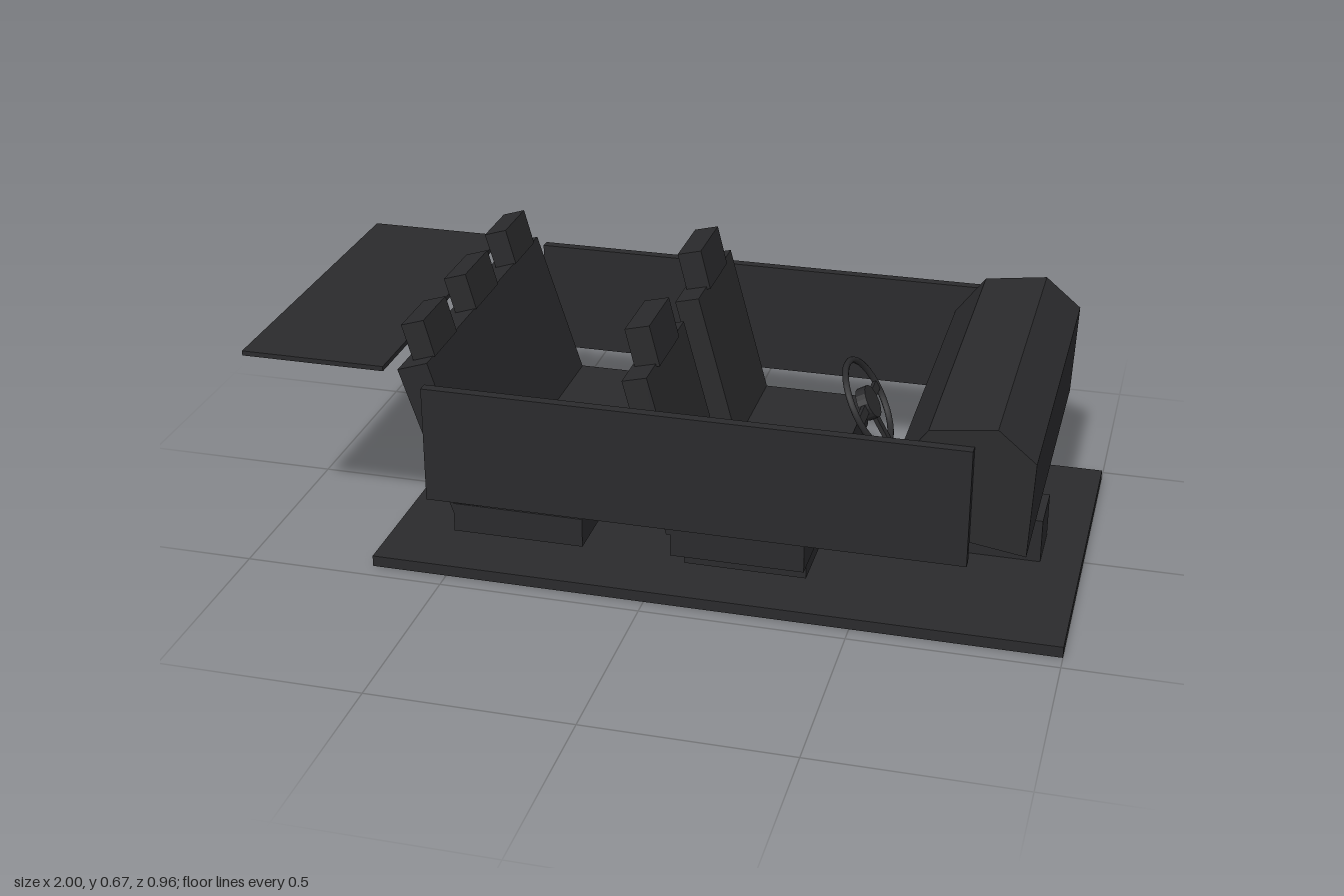
import * as THREE from 'three';

const material = new THREE.MeshStandardMaterial({ color: 0x2a2a2c, flatShading: true });
const smooth = new THREE.MeshStandardMaterial({ color: 0x2a2a2c });

// Box from its limits on each axis
function box(name, [x0, x1], [y0, y1], [z0, z1]) {
  const mesh = new THREE.Mesh(new THREE.BoxGeometry(x1 - x0, y1 - y0, z1 - z0), material);
  mesh.position.set((x0 + x1) / 2, (y0 + y1) / 2, (z0 + z1) / 2);
  mesh.name = name;
  return mesh;
}

// Side profile in x and y, extruded from z0 to z1
function slab(name, profile, z0, z1) {
  const shape = new THREE.Shape(profile.map(([x, y]) => new THREE.Vector2(x, y)));
  const geometry = new THREE.ExtrudeGeometry(shape, { depth: z1 - z0, bevelEnabled: false });
  geometry.translate(0, 0, z0);
  const mesh = new THREE.Mesh(geometry, material);
  mesh.name = name;
  return mesh;
}

function frontSeat(zMid) {
  const seat = new THREE.Group();
  seat.name = 'frontSeat';
  const span = (half) => [zMid - half, zMid + half];
  seat.add(
    box('seatBase', [0.08, 0.379], [0.075, 0.14], span(0.135)),
    box('seatCushion', [0.055, 0.38], [0.11, 0.19], span(0.169)),
    slab('seatBack', [[0.045, 0.165], [0.105, 0.18], [0, 0.57], [-0.06, 0.555]], ...span(0.169)),
    slab('headrest', [[-0.05, 0.55], [0.01, 0.565], [-0.015, 0.665], [-0.075, 0.65]], ...span(0.088)),
  );
  return seat;
}

function rearBench() {
  const bench = new THREE.Group();
  bench.name = 'rearBench';
  bench.add(
    box('benchCushion', [-0.485, -0.16], [0.11, 0.184], [-0.422, 0.422]),
    slab('benchBack', [[-0.485, 0.155], [-0.415, 0.18], [-0.535, 0.55], [-0.61, 0.525]], -0.42, 0.42),
  );
  for (const [z0, z1] of [[-0.377, -0.225], [-0.083, 0.083], [0.225, 0.377]]) {
    bench.add(slab('rearHeadrest', [[-0.585, 0.53], [-0.53, 0.55], [-0.555, 0.64], [-0.612, 0.622]], z0, z1));
  }
  return bench;
}

function steeringWheel() {
  const wheel = new THREE.Group();
  wheel.name = 'steeringWheel';
  const rim = new THREE.Mesh(new THREE.TorusGeometry(0.108, 0.008, 8, 32), smooth);
  rim.name = 'wheelRim';
  const hub = new THREE.Mesh(new THREE.CylinderGeometry(0.04, 0.04, 0.025, 20), material);
  hub.rotation.x = Math.PI / 2;
  hub.name = 'wheelHub';
  wheel.add(rim, hub);
  for (const angle of [0, Math.PI, -Math.PI / 2]) {
    const spoke = new THREE.Mesh(new THREE.BoxGeometry(0.075, 0.022, 0.01), material);
    spoke.position.set(Math.cos(angle) * 0.07, Math.sin(angle) * 0.07, 0);
    spoke.rotation.z = angle;
    spoke.name = 'wheelSpoke';
    wheel.add(spoke);
  }
  // Turn across the cabin, then lean the top rearwards
  wheel.rotation.set(0.51, -Math.PI / 2, 0, 'YXZ');
  wheel.position.set(0.49, 0.487, 0.24);
  return wheel;
}

export function createModel() {
  const model = new THREE.Group();
  model.name = 'carInterior';

  // Floor, centre tunnel and rear shelf
  model.add(
    box('floor', [-0.69, 1], [0, 0.028], [-0.456, 0.456]),
    box('centreTunnel', [-0.07, 0.9], [0.028, 0.14], [-0.072, 0.072]),
    box('rearShelf', [-1, -0.64], [0.525, 0.537], [-0.437, 0.437]),
  );

  // Dashboard across the full width
  model.add(slab('dashboard', [
    [0.62, 0.3], [0.77, 0.27], [0.9, 0.25], [0.91, 0.485],
    [0.82, 0.56], [0.665, 0.54], [0.59, 0.44],
  ], -0.456, 0.456));

  // Mirrored door panels and front seats
  for (const side of [-1, 1]) {
    const door = box('doorPanel', [-0.53, 0.77], [0.22, 0.512], [-0.0125, 0.0125]);
    door.position.z = side * 0.469;
    model.add(door, frontSeat(side * 0.241));
  }

  model.add(rearBench(), steeringWheel());
  return model;
}
